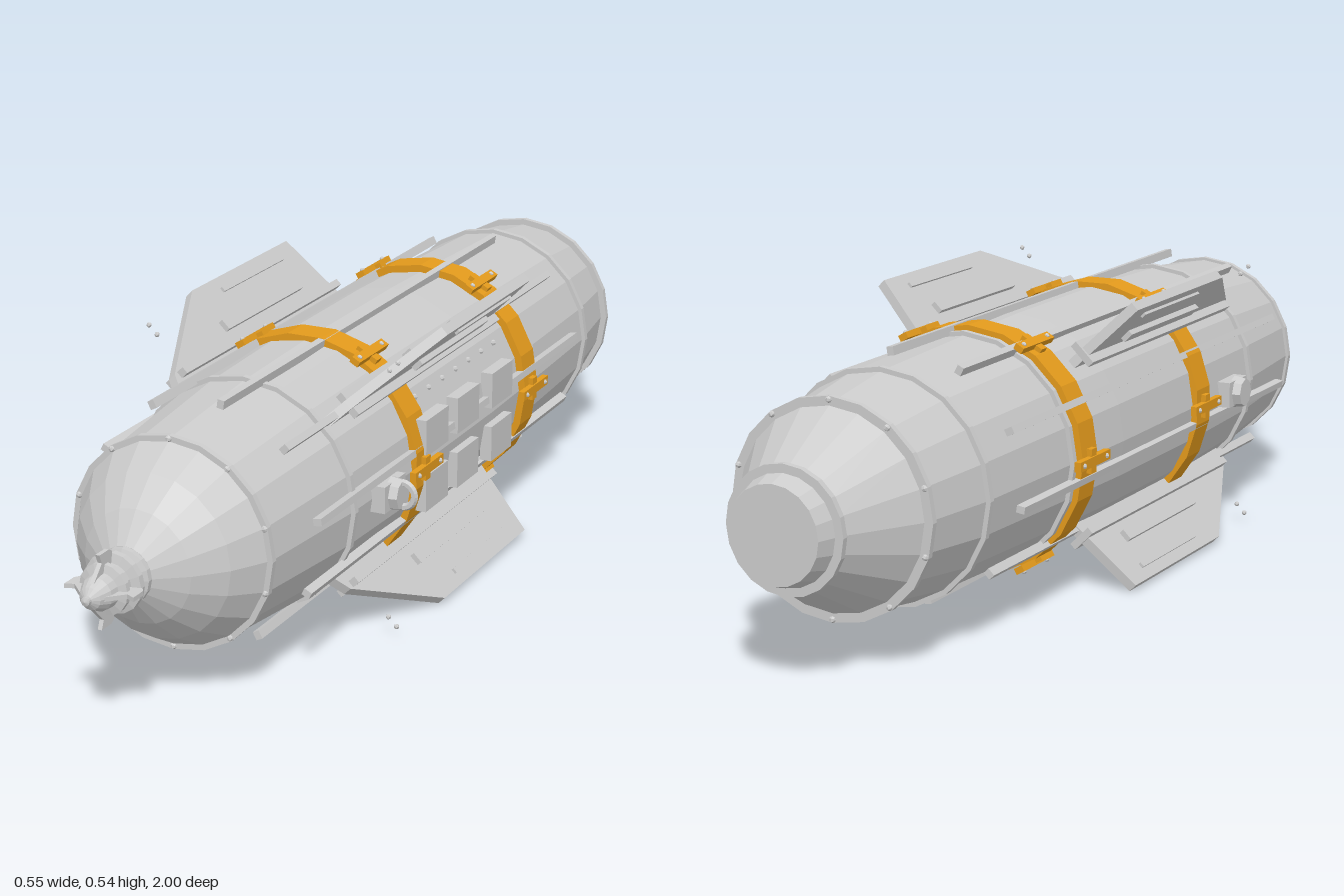
import * as THREE from 'three';

const grey = new THREE.MeshStandardMaterial({ color: 0xcccccc, flatShading: true });
const gold = new THREE.MeshStandardMaterial({ color: 0xe39a1c, flatShading: true });
const SIDES = 20;
const deg = THREE.MathUtils.degToRad;

export function createModel() {
  const model = new THREE.Group();
  model.name = 'torpedo';
  // the long axis of the hull lies along z through this point
  model.position.set(-0.01, 0.27, 0);
  const root = new THREE.Group();
  root.add(model);

  const add = (name, geometry, material = grey, parent = model) => {
    const mesh = new THREE.Mesh(geometry, material);
    mesh.name = name;
    parent.add(mesh);
    return mesh;
  };

  // turned shape from [radius, z] points, z rising
  const turned = (name, points, material = grey, sides = SIDES, start = 0, sweep = 360) => {
    const pts = points.map(([r, z]) => new THREE.Vector2(r, z));
    const g = new THREE.LatheGeometry(pts, sides, deg(start + 90), deg(sweep));
    return add(name, g.rotateX(Math.PI / 2), material);
  };

  // hoop with a rectangular section
  const hoop = (name, z, width, inner, outer, material = grey, sides = SIDES, start = -90, sweep = 360) =>
    turned(name, [[inner, z - width / 2], [outer, z - width / 2], [outer, z + width / 2], [inner, z + width / 2]],
      material, sides, start, sweep);

  // group turned so that its local x points outward at an angle
  const spoke = (name, angle) => {
    const g = new THREE.Group();
    g.name = name;
    g.rotation.z = deg(angle);
    model.add(g);
    return g;
  };

  // block at a radius: size is radial, tangential, lengthwise
  const block = (name, parent, size, r, z, material = grey, side = 0) => {
    const mesh = add(name, new THREE.BoxGeometry(...size), material, parent);
    mesh.position.set(r, side, z);
    return mesh;
  };

  // hull with tail cone and nose
  turned('hull', [
    [0, -1], [0.086, -1], [0.1, -0.955], [0.182, -0.815], [0.205, -0.65], [0.215, -0.35], [0.22, -0.15],
    [0.22, 0.2], [0.213, 0.45], [0.19, 0.71], [0.15, 0.78], [0.103, 0.83], [0.05, 0.868], [0, 0.868],
  ]);
  const hoops = [[0.712, 0.196], [0.45, 0.221], [-0.355, 0.223], [-0.65, 0.213], [-0.815, 0.195], [-0.96, 0.112]];
  for (const [z, r] of hoops) hoop('hullRing', z, 0.012, r - 0.035, r);

  // rivets around the nose and tail rings
  for (let i = 0; i < 10; i++) {
    const g = spoke('ringRivets', 18 + i * 36);
    for (const [r, z] of [[0.19, 0.718], [0.189, -0.822]]) {
      add('rivet', new THREE.SphereGeometry(0.006, 6, 4), grey, g).position.set(r, 0, z);
    }
  }

  // lengthwise rods
  for (let i = 0; i < 10; i++) {
    block('rod', spoke('rodMount', 9 + i * 36), [0.016, 0.013, 1.16], 0.222, 0.02);
  }

  // coloured bands: one full, one in four arcs between the fins
  hoop('rearBand', -0.312, 0.06, 0.21, 0.231, gold);
  for (let i = 0; i < 4; i++) {
    hoop('frontBandArc', 0.19, 0.06, 0.21, 0.231, gold, 5, i * 90 - 43, 86);
  }

  // clamps and bolts on the bands
  for (let i = 0; i < 6; i++) {
    const g = spoke('bandClamps', i * 60);
    for (const z of [0.19, -0.312]) {
      block('clamp', g, [0.012, 0.018, 0.12], 0.235, z, gold);
      block('clampBar', g, [0.01, 0.045, 0.02], 0.233, z, gold);
      for (const s of [-1, 1]) {
        add('bolt', new THREE.SphereGeometry(0.005, 6, 4), grey, g).position.set(0.241, 0, z + s * 0.045);
      }
    }
  }

  // four fins with rails on both faces
  const outline = new THREE.Shape([
    [0.2, 0.43], [0.25, 0.4], [0.372, 0.18], [0.372, -0.2], [0.2, -0.235],
  ].map(([r, z]) => new THREE.Vector2(r, z)));
  const finGeometry = new THREE.ExtrudeGeometry(outline, { depth: 0.018, bevelEnabled: false })
    .translate(0, 0, -0.009).rotateX(Math.PI / 2);
  for (let i = 0; i < 4; i++) {
    const g = spoke('finAssembly', 45 + i * 90);
    add('fin', finGeometry, grey, g);
    block('finRootRail', g, [0.014, 0.05, 0.62], 0.244, 0.08);
    block('finMiddleRail', g, [0.022, 0.038, 0.3], 0.282, 0.03);
    block('finOuterRail', g, [0.01, 0.028, 0.24], 0.345, -0.02);
    for (const r of [0.332, 0.355]) {
      add('finStud', new THREE.SphereGeometry(0.005, 6, 4), grey, g).position.set(r, 0, 0.35);
    }
  }

  // access panels and rivet row on the left flank
  const flank = spoke('accessPanels', 0);
  for (const z of [0.14, 0, -0.16]) {
    for (const y of [-0.054, 0.054]) block('panel', flank, [0.024, 0.07, 0.098], 0.221, z, grey, y);
  }
  for (let i = 0; i < 8; i++) {
    add('panelRivet', new THREE.SphereGeometry(0.006, 6, 4), grey, flank)
      .position.set(0.186, 0.114, 0.2 - i * 0.06);
  }

  // side lugs, with a lifting ring on the left
  for (const angle of [0, 180]) {
    const g = spoke('sideLug', angle);
    block('lugBase', g, [0.03, 0.05, 0.085], 0.225, 0.335);
    const boss = add('lugBoss', new THREE.CylinderGeometry(0.028, 0.032, 0.024, 8).rotateZ(-Math.PI / 2), grey, g);
    boss.position.set(0.244, 0, 0.335);
    if (angle === 0) {
      const ring = add('liftingRing', new THREE.TorusGeometry(0.023, 0.007, 6, 12, Math.PI), grey, g);
      ring.rotation.z = -Math.PI / 2;
      ring.position.set(0.255, 0, 0.335);
    }
  }

  // stepped nose hub with rounded tip
  turned('noseHub', [
    [0.05, 0.85], [0.05, 0.878], [0.04, 0.882], [0.04, 0.894], [0.054, 0.898], [0.054, 0.91], [0.038, 0.914],
    [0.038, 0.926], [0.046, 0.93], [0.046, 0.94], [0.032, 0.944], [0.03, 0.962], [0.02, 0.982], [0.008, 0.99],
    [0.008, 0.997], [0, 1],
  ], grey, 16);

  // four small vanes on the hub
  const vane = new THREE.Shape([
    [0.015, 0.925], [0.06, 0.915], [0.066, 0.925], [0.066, 0.955], [0.05, 0.948], [0.02, 0.978],
  ].map(([r, z]) => new THREE.Vector2(r, z)));
  const vaneGeometry = new THREE.ExtrudeGeometry(vane, { depth: 0.008, bevelEnabled: false })
    .translate(0, 0, -0.004).rotateX(Math.PI / 2);
  for (let i = 0; i < 4; i++) add('noseVane', vaneGeometry, grey, spoke('vaneMount', i * 90));

  return root;
}
